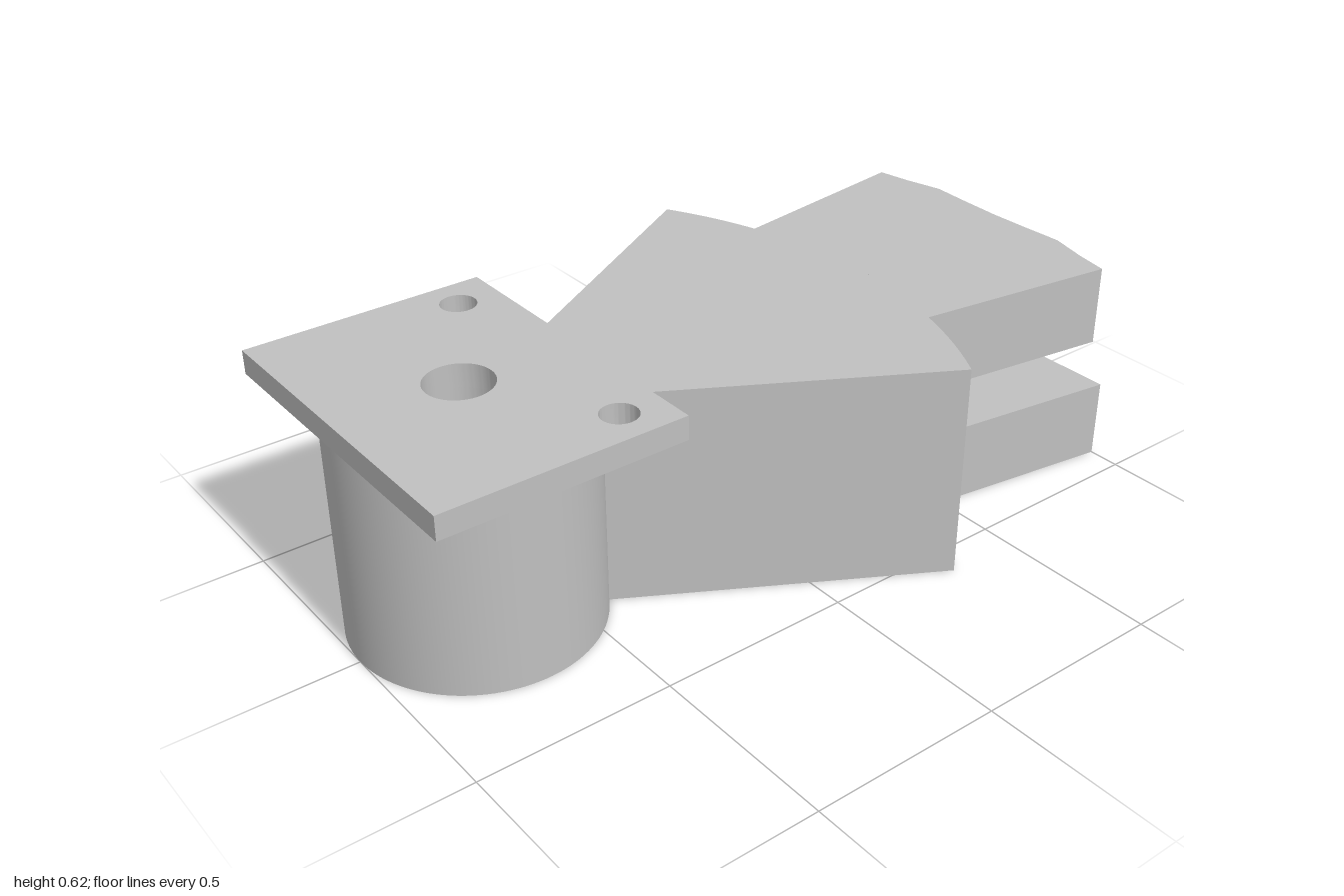
import * as THREE from 'three';
import { toCreasedNormals } from 'three/addons/utils/BufferGeometryUtils.js';

const PIVOT = -0.69; // shape y is -z, so the pivot lies at z = 0.69
const HUB_R = 0.31, BODY_R = 1.155, BORE_R = 0.083;

export function createModel() {
  const group = new THREE.Group();
  group.name = 'pivotBracket';
  const grey = new THREE.MeshStandardMaterial({ color: 0xc0c0c0 });
  grey.name = 'plain grey';

  // Extrude a plan outline upwards from y0 to y1
  const addPart = (name, shape, y0, y1) => {
    const extruded = new THREE.ExtrudeGeometry(shape, { depth: y1 - y0, bevelEnabled: false, curveSegments: 48 });
    extruded.rotateX(-Math.PI / 2);
    extruded.translate(0, y0, 0);
    const mesh = new THREE.Mesh(toCreasedNormals(extruded, 0.4), grey);
    mesh.name = name;
    group.add(mesh);
  };
  const addHole = (shape, x, y, r) => {
    shape.holes.push(new THREE.Path().absarc(x, y, r, 0, Math.PI * 2, true));
  };

  // Round hub and the 60 degree sector growing out of it
  const a0 = Math.PI / 3, a1 = Math.PI * 2 / 3;
  const body = new THREE.Shape();
  body.absarc(0, PIVOT, BODY_R, a0, a1, false);
  body.absarc(0, PIVOT, HUB_R, a1, a0 + Math.PI * 2, false);
  body.closePath();
  addHole(body, 0, PIVOT, BORE_R);
  addPart('hubAndSector', body, 0, 0.56);

  // Mounting plate with bore and two screw holes
  const plate = new THREE.Shape();
  plate.moveTo(-0.425, -1).lineTo(0.425, -1).lineTo(0.425, -0.385).lineTo(-0.425, -0.385).closePath();
  addHole(plate, 0, PIVOT, BORE_R);
  for (const s of [-1, 1]) addHole(plate, s * 0.328, -0.495, 0.045);
  addPart('mountingPlate', plate, 0.56, 0.62);

  // Two tail jaws: the inner end follows the sector arc, the outer end is given from +x to the middle
  const half = Math.asin(0.33 / BODY_R);
  const jaw = (end) => {
    const shape = new THREE.Shape();
    shape.absarc(0, PIVOT, BODY_R, Math.PI / 2 + half, Math.PI / 2 - half, true);
    for (const [x, y] of end) shape.lineTo(x, y);
    for (const [x, y] of [...end].reverse()) if (x > 0) shape.lineTo(-x, y);
    shape.closePath();
    return shape;
  };
  addPart('lowerJaw', jaw([[0.417, 1]]), 0, 0.21);
  addPart('upperJaw', jaw([[0.409, 0.955], [0.32, 0.972], [0.27, 0.985], [0.22, 0.998], [0.11, 0.993], [0, 0.99]]), 0.35, 0.56);

  return group;
}
